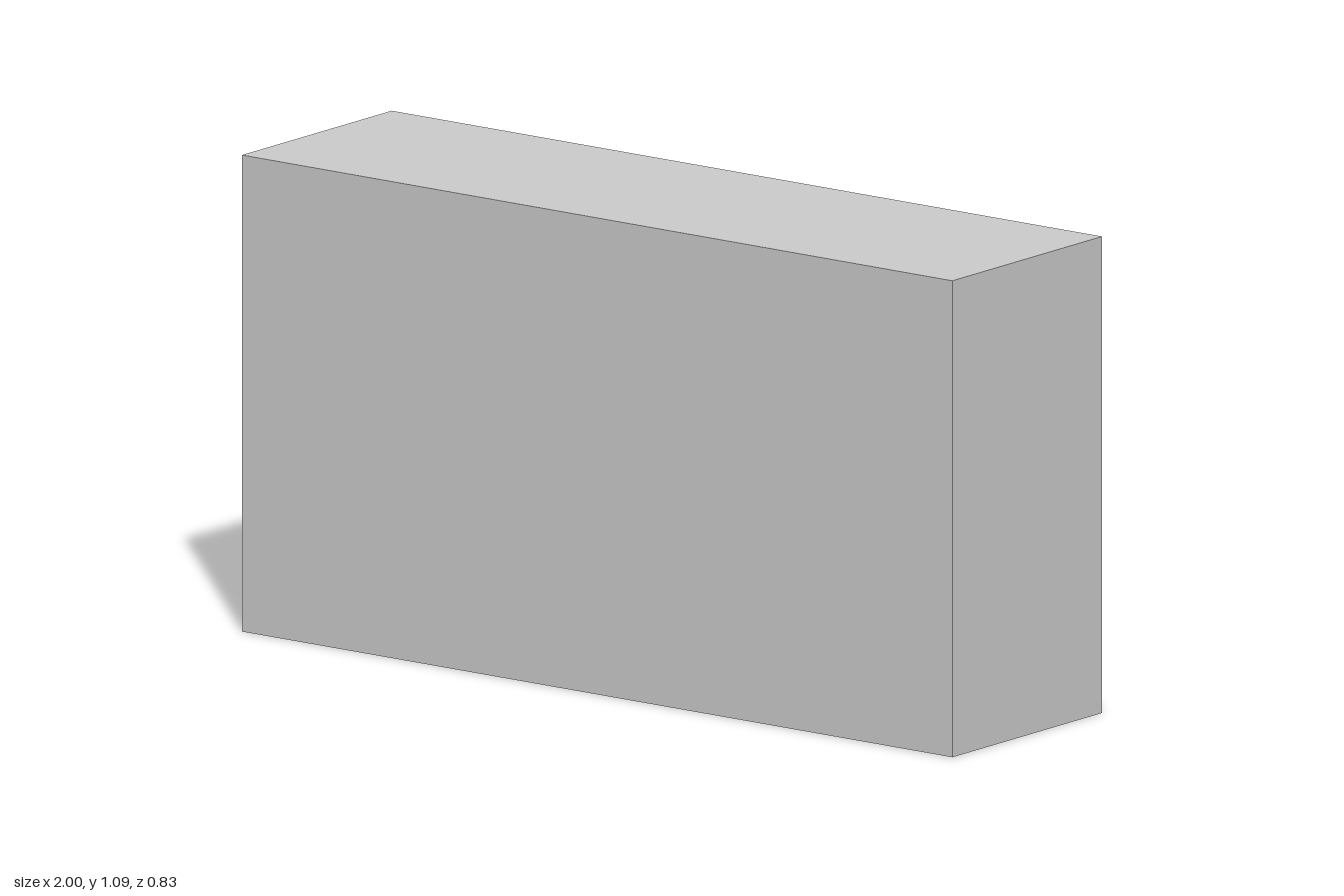
import * as THREE from 'three';
import { mergeGeometries, toCreasedNormals } from 'three/addons/utils/BufferGeometryUtils.js';

// d is the distance out from the block's back face, which lies at z = BACK
const BACK = -0.13, TOP = 0.82, DEPTH = 0.285;
const ARC_Y = 0.545, ARC_D = 0.005, ARC_R = 0.28; // rounded lower edge
const LEDGE = 0.415, SLOT_IN = 0.07, SLOT_OUT = 0.2; // hook-shaped slots
const ARC_STEPS = 20;

const arcD = a => ARC_D + ARC_R * Math.cos(a);
const arcY = a => ARC_Y - ARC_R * Math.sin(a);
// Top face, cut by the slanted end plane
const roof = (x, d) => Math.min(TOP, TOP - (x - 0.555 + 0.68 * d) / 0.712);
// Bowed underside, rising towards the ends
const bowl = (x, d) => 0.275 + 0.05 * d + (0.427 + 0.3 * d) * x * x;

// Root of a function that starts positive at lo
function bisect(f, lo, hi) {
  for (let i = 0; i < 40; i++) {
    const m = (lo + hi) / 2;
    if (f(m) > 0) lo = m; else hi = m;
  }
  return lo;
}

// Slot outline from its top inner corner, round the half-pipe, to the ledge
const slotAngle = Math.asin((ARC_Y - LEDGE) / ARC_R);
function slotPath() {
  const pts = [[SLOT_IN, TOP]];
  const r = (SLOT_OUT - SLOT_IN) / 2;
  for (let i = 0; i <= 16; i++) {
    const t = (i / 16) * Math.PI;
    pts.push([SLOT_IN + r - r * Math.cos(t), LEDGE - r * Math.sin(t)]);
  }
  pts.push([arcD(slotAngle), LEDGE]);
  return pts;
}

// Cross-section at x: top, outer wall, rounded edge, underside
function section(xSigned, slotted) {
  const x = Math.abs(xSigned);
  let a0 = 0;
  if (slotted) a0 = slotAngle;
  else if (roof(x, DEPTH) < ARC_Y) a0 = bisect(a => arcY(a) - roof(x, arcD(a)), 0, Math.PI / 2);
  const a1 = bisect(a => arcY(a) - bowl(x, arcD(a)), 0, Math.PI / 2);
  const arc = [];
  if (a1 > a0) {
    for (let i = 0; i <= ARC_STEPS; i++) {
      const a = a0 + (a1 - a0) * i / ARC_STEPS;
      arc.push([arcD(a), arcY(a)]);
    }
  } else {
    const d = bisect(e => roof(x, e) - bowl(x, e), 0, DEPTH);
    for (let i = 0; i <= ARC_STEPS; i++) arc.push([d, bowl(x, d)]);
  }
  const end = arc[0][0];
  const crease = Math.min(end, Math.max(0, (0.555 - x) / 0.68));
  const upper = slotted
    ? [[0, TOP], ...slotPath()]
    : [0, crease, end].map(d => [d, roof(x, d)]);
  const last = arc[ARC_STEPS][0];
  const under = [0.66, 0.33, 0].map(k => [last * k, bowl(x, last * k)]);
  return [...upper, ...arc, ...under];
}

// Skin the cross-sections at a row of x stations
function loft(stations, slotted) {
  const rings = stations.map(x => section(x, slotted));
  const n = rings[0].length, pos = [], index = [];
  rings.forEach((ring, s) => ring.forEach(([d, y]) => pos.push(stations[s], y, BACK - d)));
  for (let s = 0; s < rings.length - 1; s++) {
    for (let i = 0; i < n - 1; i++) {
      const a = s * n + i, b = a + n;
      index.push(a, b, b + 1, a, b + 1, a + 1);
    }
  }
  const geo = new THREE.BufferGeometry();
  geo.setAttribute('position', new THREE.Float32BufferAttribute(pos, 3));
  geo.setIndex(index);
  return geo.toNonIndexed();
}

export function createModel() {
  const model = new THREE.Group();
  const grey = new THREE.MeshStandardMaterial({ color: 0xcccccc });
  const thin = new THREE.MeshStandardMaterial({ color: 0xcccccc, side: THREE.DoubleSide });

  // Plain rectangular block
  const block = new THREE.Mesh(new THREE.BoxGeometry(2, 1.09, 0.545), grey);
  block.name = 'block';
  block.position.set(0, 0.545, 0.1425);
  model.add(block);

  // Hull-shaped holder on the back, in solid and slotted slabs
  const outer = [0.285, 0.361, 0.42, 0.48, 0.52, 0.555, 0.575, 0.59, 0.6, 0.61, 0.62, 0.65, 0.69, 0.73, 0.765];
  const inner = [0.035, 0.095, 0.155, 0.215];
  const mirror = list => list.map(x => -x).reverse();
  const slabs = [outer, inner, mirror(inner), mirror(outer)].map(s => loft(s, false));
  const slots = [[-0.285, -0.215], [-0.035, 0.035], [0.215, 0.285]];
  slots.forEach(s => slabs.push(loft(s, true)));
  const holder = new THREE.Mesh(toCreasedNormals(mergeGeometries(slabs), 0.5), grey);
  holder.name = 'holder';
  model.add(holder);

  // Flat side walls of the slots
  const outline = slotPath();
  for (let i = 0; i <= 8; i++) {
    const a = slotAngle * (1 - i / 8);
    outline.push([arcD(a), arcY(a)]);
  }
  outline.push([DEPTH, TOP]);
  const wall = new THREE.ShapeGeometry(new THREE.Shape(outline.map(([d, y]) => new THREE.Vector2(d, y))));
  wall.rotateY(Math.PI / 2);
  const walls = new THREE.Group();
  walls.name = 'slotWalls';
  slots.flat().forEach(x => {
    const mesh = new THREE.Mesh(wall, thin);
    mesh.name = 'slotWall';
    mesh.position.set(x, 0, BACK);
    walls.add(mesh);
  });
  model.add(walls);

  return model;
}
